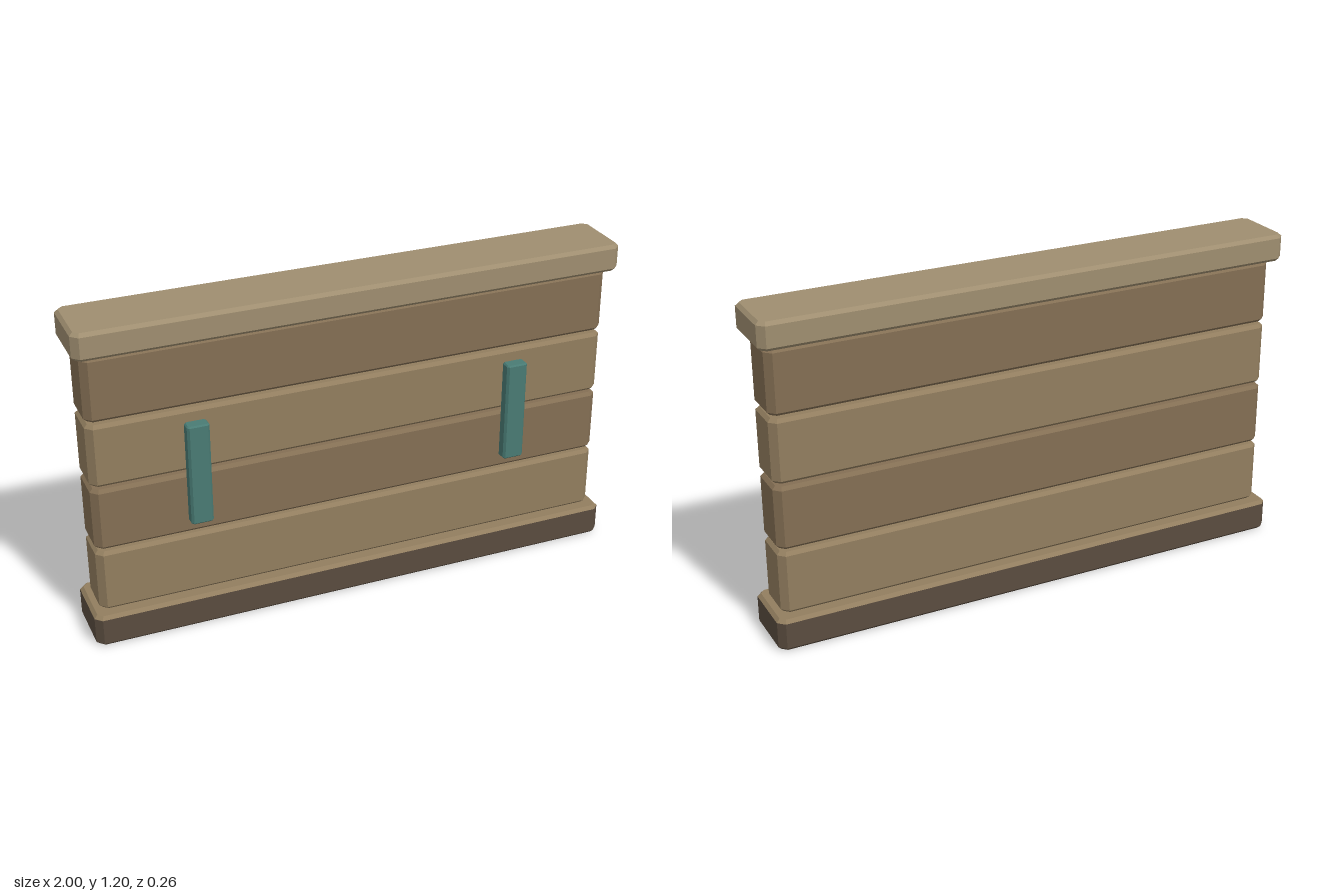
import * as THREE from 'three';

// Block with cut vertical corners (cut) and bevelled top and bottom edges (bevel)
function blockGeometry(w, h, d, cut, bevel) {
  const x = w / 2, z = d / 2;
  const outline = new THREE.Shape([
    [x, -z + cut], [x, z - cut], [x - cut, z], [-x + cut, z],
    [-x, z - cut], [-x, -z + cut], [-x + cut, -z], [x - cut, -z],
  ].map(([a, b]) => new THREE.Vector2(a, b)));
  const geo = new THREE.ExtrudeGeometry(outline, {
    depth: h - 2 * bevel, bevelEnabled: true, bevelSegments: 1,
    bevelSize: bevel, bevelThickness: bevel, bevelOffset: -bevel,
  });
  geo.rotateX(-Math.PI / 2);
  geo.translate(0, bevel, 0);
  return geo;
}

function material(color) {
  return new THREE.MeshStandardMaterial({ color, flatShading: true });
}

// Give upward-facing triangles material 1 and all others material 0
function splitUpwardFaces(geo) {
  const n = geo.attributes.normal;
  geo.clearGroups();
  for (let i = 0; i < n.count; i += 3) geo.addGroup(i, 3, n.getY(i) > 0.1 ? 1 : 0);
}

export function createModel() {
  const group = new THREE.Group();
  const lightWood = material(0x927e5f);
  const darkWood = material(0x846f54);
  const capWood = material(0x9f8e70);
  const baseWood = material(0x5a4c3f);
  const teal = material(0x497b74);

  function add(name, mat, [w, h, d], [x, y, z], cut = 0.024, bevel = 0.012) {
    const mesh = new THREE.Mesh(blockGeometry(w, h, d, cut, bevel), mat);
    mesh.name = name;
    mesh.position.set(x, y, z);
    group.add(mesh);
    return mesh;
  }

  // Dark base with a lighter upper surface
  const base = add('base', [baseWood, lightWood], [2, 0.12, 0.25], [0, 0, -0.005]);
  splitUpwardFaces(base.geometry);

  // Four stacked planks in alternating tones
  for (let i = 0; i < 4; i++) {
    add('plank' + (i + 1), i % 2 ? darkWood : lightWood,
      [1.94, 0.234, 0.17], [0, 0.121 + i * 0.245, -0.005]);
  }

  // Overhanging top rail
  add('topRail', capWood, [2, 0.1, 0.25], [0, 1.1, -0.005]);

  // Upright strips on the front
  for (const side of [-1, 1]) {
    add(side > 0 ? 'leftStrip' : 'rightStrip', teal,
      [0.08, 0.38, 0.047], [side * 0.6, 0.423, 0.107], 0.008, 0.005);
  }
  return group;
}
